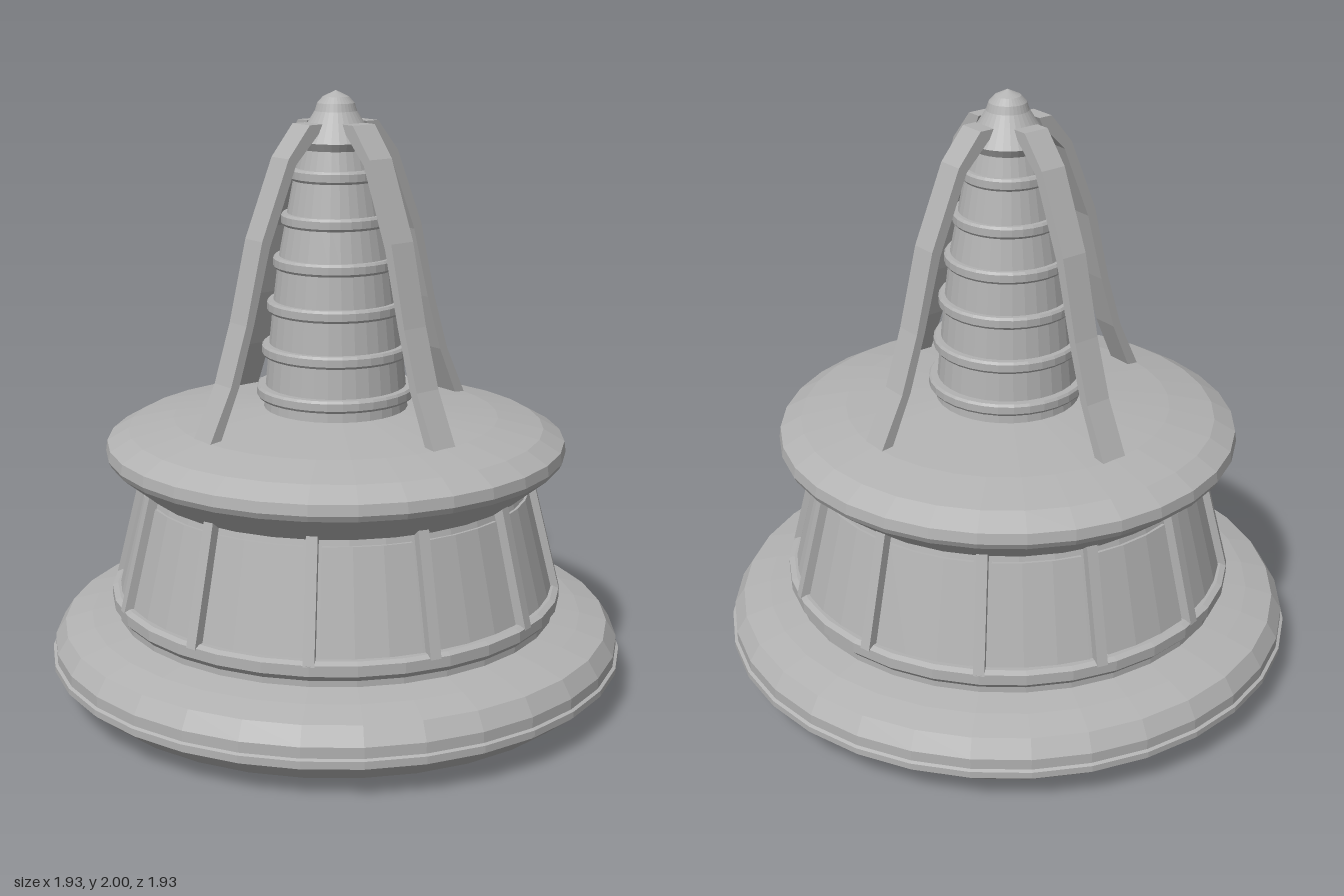
import * as THREE from 'three';

const grey = new THREE.MeshStandardMaterial({ color: 0xb2b2b2, flatShading: true });
grey.name = 'stone grey';

function add(parent, name, geometry) {
  const mesh = new THREE.Mesh(geometry, grey);
  mesh.name = name;
  parent.add(mesh);
  return mesh;
}

function lathe(points, segments = 32, start = 0, sweep = Math.PI * 2) {
  return new THREE.LatheGeometry(points.map(([r, y]) => new THREE.Vector2(r, y)), segments, start, sweep);
}

export function createModel() {
  const model = new THREE.Group();
  model.name = 'domedBell';

  // Wide rounded foot with a thin belt around its rim
  add(model, 'base', lathe([
    [0, 0], [0.77, 0], [0.87, 0.04], [0.955, 0.11], [0.955, 0.18], [0.92, 0.235],
    [0.83, 0.26], [0.74, 0.275], [0, 0.275],
  ]));
  add(model, 'baseBelt', lathe([[0.95, 0.115], [0.965, 0.12], [0.965, 0.14], [0.95, 0.147]]));

  // Stepped collar under the drum
  add(model, 'drumCollar', lathe([
    [0.74, 0.265], [0.74, 0.295], [0.758, 0.315], [0.758, 0.35], [0.74, 0.358], [0.6, 0.358],
  ]));

  // Tapered drum with curved panels between twelve ribs
  add(model, 'drum', lathe([[0.73, 0.33], [0.63, 0.73]], 36));
  const panelSpan = THREE.MathUtils.degToRad(25);
  const ribs = new THREE.Group();
  ribs.name = 'ribs';
  model.add(ribs);
  for (let i = 0; i < 12; i++) {
    const angle = i * Math.PI / 6;
    const holder = new THREE.Group();
    holder.name = 'ribHolder';
    holder.rotation.y = angle;
    ribs.add(holder);
    const rib = add(holder, 'rib', new THREE.BoxGeometry(0.036, 0.4, 0.04));
    rib.position.set(0, 0.535, 0.69);
    rib.rotation.x = -Math.atan2(0.1, 0.4);
    add(model, 'panel', lathe(
      [[0.712, 0.362], [0.73, 0.362], [0.648, 0.69], [0.63, 0.69]],
      3, angle + Math.PI / 12 - panelSpan / 2, panelSpan));
  }

  // Overhanging roof
  add(model, 'roof', lathe([
    [0, 0.71], [0.64, 0.71], [0.755, 0.805], [0.765, 0.825], [0.76, 0.86], [0.69, 0.9],
    [0.54, 0.932], [0.24, 0.965], [0, 0.965],
  ]));

  // Tapering spire with raised rings
  add(model, 'spire', lathe([
    [0.24, 0.955], [0.235, 1.02], [0.222, 1.16], [0.208, 1.3], [0.19, 1.45],
    [0.163, 1.59], [0.135, 1.735], [0.108, 1.84],
  ]));
  const rings = [[0.262, 1.02], [0.244, 1.16], [0.226, 1.305], [0.205, 1.45], [0.178, 1.59], [0.148, 1.735]];
  for (const [r, y] of rings) {
    add(model, 'spireRing', lathe([
      [r - 0.035, y - 0.02], [r - 0.006, y - 0.02], [r, y - 0.012],
      [r, y + 0.012], [r - 0.006, y + 0.02], [r - 0.035, y + 0.02],
    ]));
  }

  // Conical finial
  add(model, 'finial', lathe([
    [0, 1.815], [0.115, 1.815], [0.13, 1.84], [0.09, 1.9], [0.068, 1.935],
    [0.06, 1.96], [0.042, 1.98], [0, 2],
  ]));

  // Four curved struts set on the diagonals
  const outline = [
    [0.545, 0.92], [0.457, 1.1], [0.395, 1.29], [0.33, 1.55], [0.224, 1.8], [0.14, 1.9],
    [0.09, 1.9], [0.105, 1.87], [0.195, 1.78], [0.3, 1.53], [0.365, 1.29], [0.425, 1.1], [0.505, 0.92],
  ];
  const strutShape = new THREE.Shape(outline.map(([r, y]) => new THREE.Vector2(r, y)));
  const strutGeometry = new THREE.ExtrudeGeometry(strutShape, { depth: 0.09, bevelEnabled: false });
  strutGeometry.translate(0, 0, -0.045);
  for (let i = 0; i < 4; i++) {
    add(model, 'strut', strutGeometry).rotation.y = Math.PI / 4 + i * Math.PI / 2;
  }

  return model;
}
